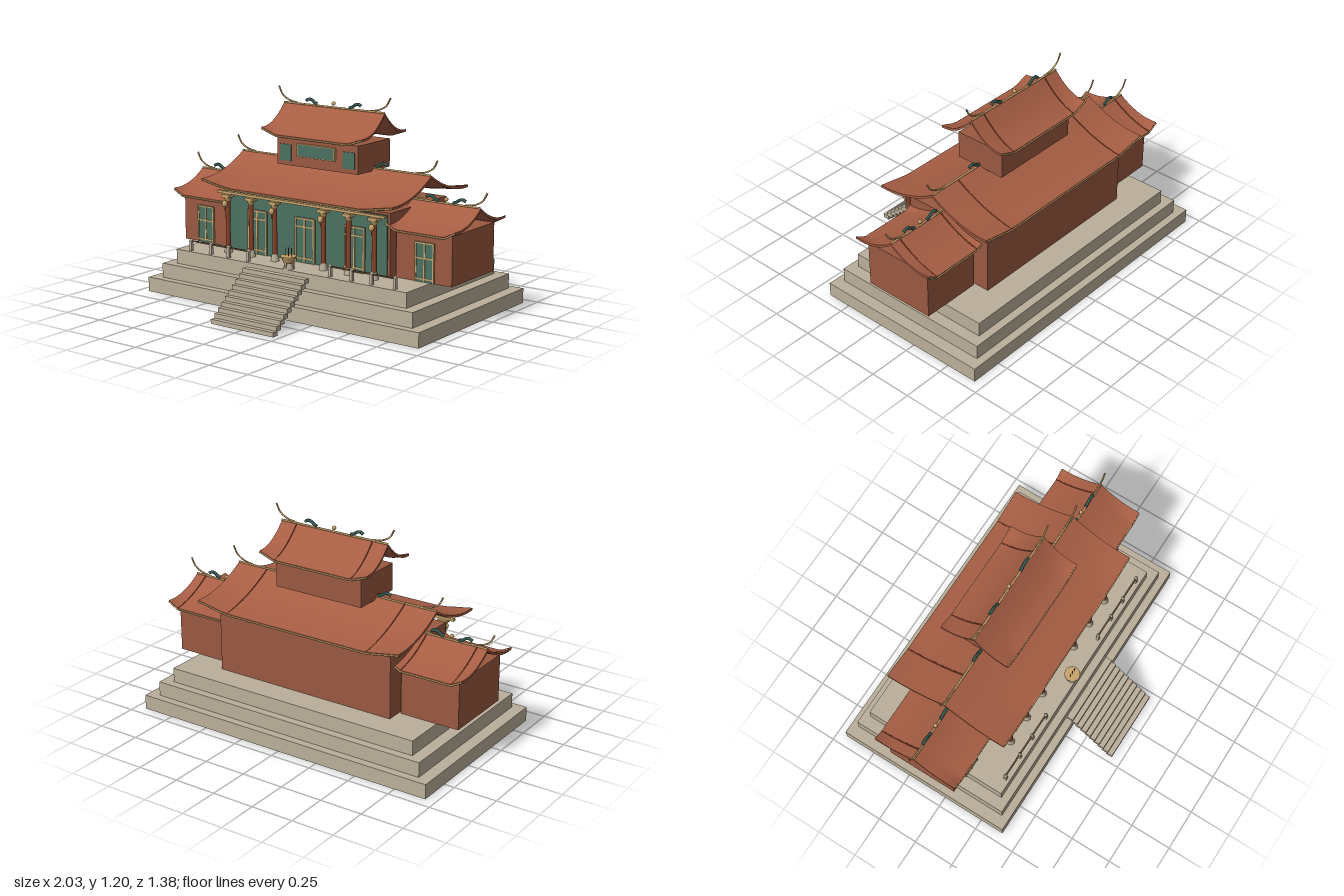
import * as THREE from 'three';
import { toCreasedNormals } from 'three/addons/utils/BufferGeometryUtils.js';

const mat = (name, color) => {
  const m = new THREE.MeshStandardMaterial({ color });
  m.name = name;
  return m;
};

export function createModel() {
  const roofTile = mat('roofTile', 0xa65d43);
  const brick = mat('brick', 0x9a5941);
  const stone = mat('stone', 0xbbaf9a);
  const jade = mat('jadeGreen', 0x4a7061);
  const gold = mat('gold', 0xc8a46c);
  const red = mat('columnRed', 0x8a4229);
  const dragonGreen = mat('dragonGreen', 0x33554f);
  const bronze = mat('darkBronze', 0x6b5238);

  const temple = new THREE.Group();
  temple.name = 'temple';
  const ZC = -0.145; // ridge line shared by all the halls

  const add = (parent, name, geo, material, x = 0, y = 0, z = 0) => {
    const mesh = new THREE.Mesh(geo, material);
    mesh.name = name;
    mesh.position.set(x, y, z);
    parent.add(mesh);
    return mesh;
  };
  // box given by its centre in x and z and its bottom in y
  const box = (parent, name, material, w, h, d, x, y, z) =>
    add(parent, name, new THREE.BoxGeometry(w, h, d), material, x, y + h / 2, z);
  const tube = (parent, name, material, pts, r, seg = 16) =>
    add(parent, name, new THREE.TubeGeometry(
      new THREE.CatmullRomCurve3(pts.map(p => new THREE.Vector3(...p))), seg, r, 6), material);

  // stepped terrace
  [[0.94, 0.543], [0.87, 0.497], [0.8, 0.45]].forEach(([hx, hz], i) =>
    box(temple, 'terrace', stone, hx * 2, 0.085, hz * 2, 0, i * 0.085, -0.148));

  // open staircase
  for (let i = 0; i < 10; i++)
    box(temple, 'stairStep', stone, 0.43, 0.0255, 0.04, 0, i * 0.0255, 0.67 - i * 0.0307);

  // curved roof with raised corners, ridge ornaments and eave trim
  function roof(name, cx, hw, hd, ridgeY, drop, flat, ball, dragonX) {
    const g = new THREE.Group();
    g.name = name;
    g.position.set(cx, ridgeY, ZC);
    temple.add(g);
    const height = (x, z) => {
      const t = Math.min(1, Math.abs(z) / hd);
      const s = Math.max(0, (Math.abs(x) - flat) / (hw - flat));
      return -drop * (1.65 * t - 0.65 * t * t) + 0.035 * s * t * t;
    };
    const th = 0.014;
    const geo = new THREE.BoxGeometry(hw * 2, th, hd * 2, 24, 1, 16);
    const p = geo.attributes.position;
    for (let i = 0; i < p.count; i++)
      p.setY(i, p.getY(i) - th / 2 + height(p.getX(i), p.getZ(i)));
    add(g, 'roofSlab', toCreasedNormals(geo, 0.5), roofTile);

    const line = (n, f) => Array.from({ length: n + 1 }, (_, i) => f(i / n));
    for (const s of [-1, 1]) {
      // eave trim
      tube(g, 'eaveTrim', gold, line(20, u => {
        const x = (u * 2 - 1) * hw;
        return [x, height(x, hd) - 0.008, s * hd];
      }), 0.005, 40);
      // rear roof rib
      tube(g, 'roofRib', red, line(8, u => [s * flat, height(flat, u * hd), -u * hd]), 0.004);
      // upswept ridge horn
      const h = hw - 0.1;
      tube(g, 'ridgeHorn', gold, [[s * h, 0.004, 0], [s * (h + 0.06), 0.014, 0],
        [s * (h + 0.11), 0.042, 0], [s * (h + 0.138), 0.09, 0]], 0.005);
      // ridge dragon
      if (dragonX) {
        const d = dragonX;
        tube(g, 'ridgeDragon', dragonGreen, [[s * (d - 0.04), 0.008, 0], [s * (d - 0.02), 0.014, 0],
          [s * d, 0.028, 0], [s * (d + 0.022), 0.032, 0], [s * (d + 0.042), 0.022, 0]], 0.009);
      }
    }
    tube(g, 'ridgeCap', gold, [[-hw, 0, 0], [0, 0, 0], [hw, 0, 0]], 0.006);
    if (ball) {
      add(g, 'ridgePearl', new THREE.SphereGeometry(0.012, 10, 8), gold, 0, 0.022, 0);
    }
    return g;
  }
  roof('mainRoof', 0, 0.66, 0.38, 0.79, 0.145, 0.46, false, 0.33);
  roof('upperRoof', 0, 0.35, 0.212, 1.105, 0.152, 0.25, true, 0.15);

  // gold-framed door with glazing bars
  function door(name, x, z, w, h, rows) {
    const g = new THREE.Group();
    g.name = name;
    g.position.set(x, 0.257, z);
    temple.add(g);
    box(g, 'doorLeaf', jade, w, h, 0.008, 0, 0, 0.004);
    for (const s of [-1, 0, 1])
      box(g, 'doorUpright', gold, 0.009, h, 0.008, s * (w / 2 - 0.004), 0, 0.008);
    for (const r of [...rows, 1])
      box(g, 'doorRail', gold, w, 0.008, 0.008, 0, h * r - 0.008, 0.008);
  }

  // main hall
  box(temple, 'mainHall', brick, 1.13, 0.36, 0.56, 0, 0.255, -0.17);
  box(temple, 'mainHallFront', jade, 1.1, 0.345, 0.008, 0, 0.257, 0.114);
  for (const x of [-0.34, 0, 0.34]) door('mainDoor', x, 0.118, 0.135, 0.258, [0.12, 0.82]);

  // upper hall with plaque and shutters
  box(temple, 'upperHall', brick, 0.56, 0.16, 0.31, 0, 0.775, ZC);
  box(temple, 'plaque', jade, 0.25, 0.066, 0.014, 0, 0.838, 0.019);
  for (const s of [-1, 1]) {
    box(temple, 'plaqueRail', gold, 0.258, 0.005, 0.018, 0, 0.8685 + s * 0.035, 0.02);
    box(temple, 'plaqueSide', gold, 0.005, 0.07, 0.018, s * 0.127, 0.836, 0.02);
    box(temple, 'shutter', jade, 0.08, 0.095, 0.006, s * 0.22, 0.8, 0.012);
  }

  for (const s of [-1, 1]) {
    // side wings
    box(temple, 'sideHall', brick, 0.355, 0.275, 0.43, s * 0.755, 0.255, ZC);
    roof('sideRoof', s * 0.755, 0.22, 0.262, 0.65, 0.118, 0.155, true, 0.085);
    door('sideDoor', s * 0.765, 0.071, 0.12, 0.22, [0.1, 0.62]);

    // columns
    for (const x of [0.17, 0.34, 0.51]) {
      const c = new THREE.Group();
      c.name = 'column';
      c.position.set(s * x, 0.255, 0.18);
      temple.add(c);
      add(c, 'columnBase', new THREE.CylinderGeometry(0.018, 0.025, 0.04, 8), stone, 0, 0.02, 0);
      add(c, 'columnShaft', new THREE.CylinderGeometry(0.014, 0.014, 0.29, 12), red, 0, 0.17, 0);
      add(c, 'capital', new THREE.CylinderGeometry(0.024, 0.016, 0.022, 8), gold, 0, 0.316, 0);
      box(c, 'capitalBlock', gold, 0.055, 0.018, 0.05, 0, 0.325, 0);
      if (x !== 0.34) {
        // hanging lantern
        const l = add(c, 'lantern', new THREE.SphereGeometry(0.016, 10, 8), gold, 0, 0.29, 0.029);
        l.scale.y = 1.25;
        add(c, 'lanternTassel', new THREE.CylinderGeometry(0.004, 0.002, 0.025, 6), gold, 0, 0.26, 0.029);
      }
    }

    // balustrade
    for (const x of [0.285, 0.43, 0.56, 0.71]) {
      box(temple, 'railPost', stone, 0.017, 0.06, 0.017, s * x, 0.255, 0.275);
      add(temple, 'postCap', new THREE.ConeGeometry(0.012, 0.018, 8), stone, s * x, 0.323, 0.275);
    }
    box(temple, 'handrail', bronze, 0.425, 0.008, 0.009, s * 0.4975, 0.308, 0.275);
  }
  box(temple, 'porchBeam', gold, 1.16, 0.014, 0.02, 0, 0.6, 0.18);

  // incense burner
  const burner = new THREE.Group();
  burner.name = 'incenseBurner';
  burner.position.set(0, 0.255, 0.275);
  temple.add(burner);
  add(burner, 'burnerFoot', new THREE.CylinderGeometry(0.018, 0.03, 0.04, 12), stone, 0, 0.02, 0);
  add(burner, 'burnerBowl', new THREE.CylinderGeometry(0.043, 0.028, 0.034, 16), gold, 0, 0.053, 0);
  add(burner, 'burnerRim', new THREE.CylinderGeometry(0.046, 0.046, 0.007, 16), gold, 0, 0.07, 0);
  for (let i = 0; i < 3; i++) {
    const a = i * Math.PI * 2 / 3 + Math.PI / 2;
    box(burner, 'burnerLeg', stone, 0.01, 0.04, 0.01, Math.cos(a) * 0.026, 0, Math.sin(a) * 0.026);
  }
  for (const x of [-0.022, 0, 0.022])
    add(burner, 'incenseStick', new THREE.CylinderGeometry(0.002, 0.002, 0.05, 6), red, x, 0.095, 0);

  return temple;
}
